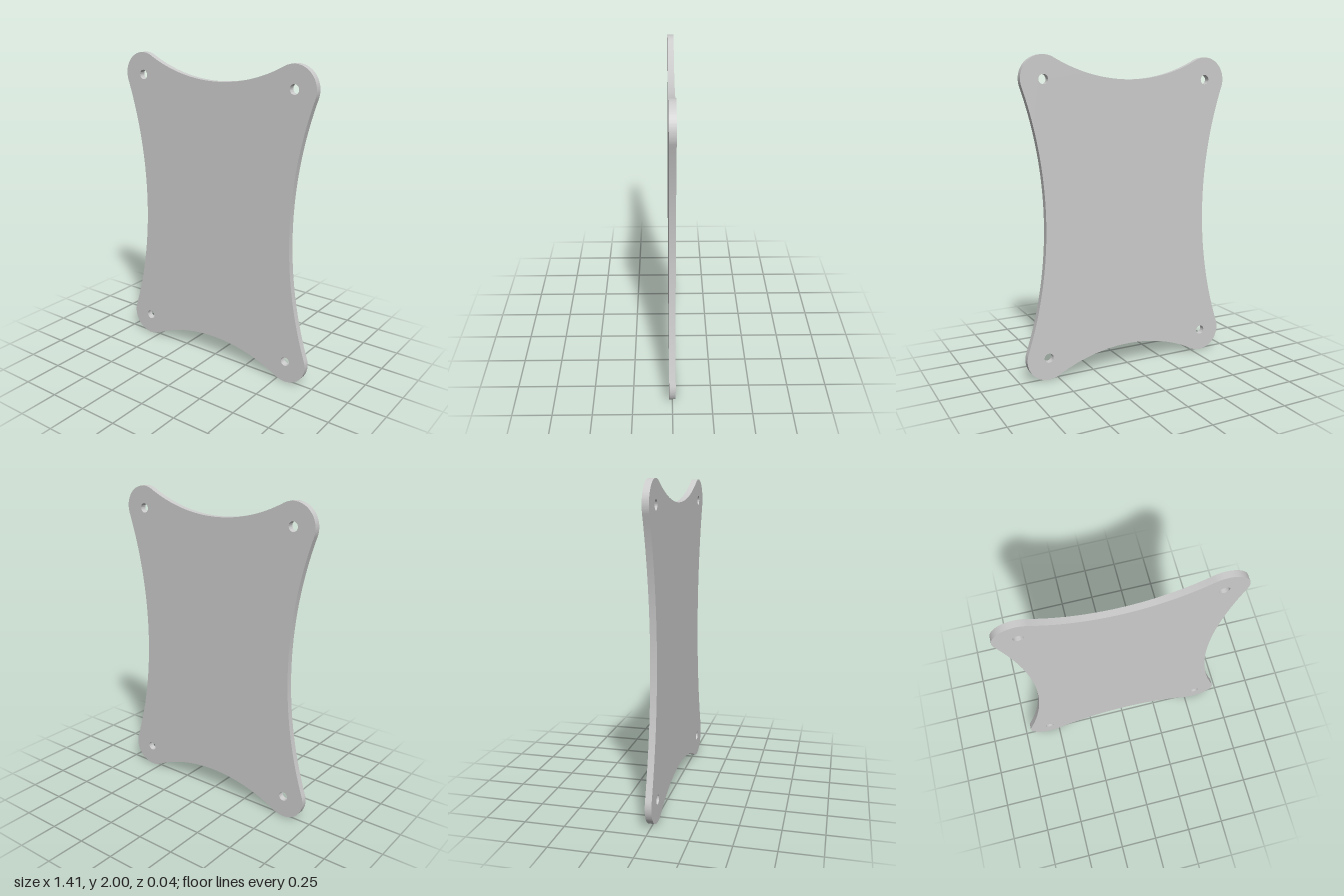
import * as THREE from 'three';
import { toCreasedNormals } from 'three/addons/utils/BufferGeometryUtils.js';

const W = 0.563, H = 0.858;    // corner hole centres, from the plate's middle
const R = 0.142;               // rounded corner radius
const HOLE = 0.03;             // screw hole radius
const T = 0.04;                // plate thickness

// Radius of the concave edge arc that meets the corner circles tangentially
const edgeRadius = (half) => (half * half - R * R) / (2 * R);

function plateShape() {
  const P = Math.PI;
  const rs = edgeRadius(H), rt = edgeRadius(W);        // side and top/bottom arcs
  const a = Math.atan2(H, rs), b = Math.atan2(W, rt);  // their half angles
  const s = new THREE.Shape();
  s.absarc(W, H, R, -a, P / 2 + b, false);
  s.absarc(0, H + rt, rt, -P / 2 + b, -P / 2 - b, true);
  s.absarc(-W, H, R, P / 2 - b, P + a, false);
  s.absarc(-W - rs, 0, rs, a, -a, true);
  s.absarc(-W, -H, R, P - a, 1.5 * P + b, false);
  s.absarc(0, -H - rt, rt, P / 2 + b, P / 2 - b, true);
  s.absarc(W, -H, R, 1.5 * P - b, 2 * P + a, false);
  s.absarc(W + rs, 0, rs, P + a, P - a, true);

  // Screw hole in each corner
  for (const x of [-W, W]) for (const y of [-H, H]) {
    s.holes.push(new THREE.Path().absarc(x, y, HOLE, 0, 2 * P, true));
  }
  return s;
}

export function createModel() {
  const group = new THREE.Group();
  group.name = 'mountingPlate';
  const material = new THREE.MeshStandardMaterial({ color: 0xcccccc });

  // Flat plate with concave edges
  const geometry = new THREE.ExtrudeGeometry(plateShape(), { depth: T, bevelEnabled: false, curveSegments: 40 });
  geometry.translate(0, H + R, -T / 2);
  const plate = new THREE.Mesh(toCreasedNormals(geometry, 0.6), material);
  plate.name = 'plate';
  group.add(plate);

  // Tiny centre mark low on the back face
  const mark = new THREE.Mesh(new THREE.CylinderGeometry(0.006, 0.006, 0.002, 16), material);
  mark.name = 'backMark';
  mark.rotation.x = Math.PI / 2;
  mark.position.set(0, 0.31, -T / 2);
  group.add(mark);

  return group;
}
